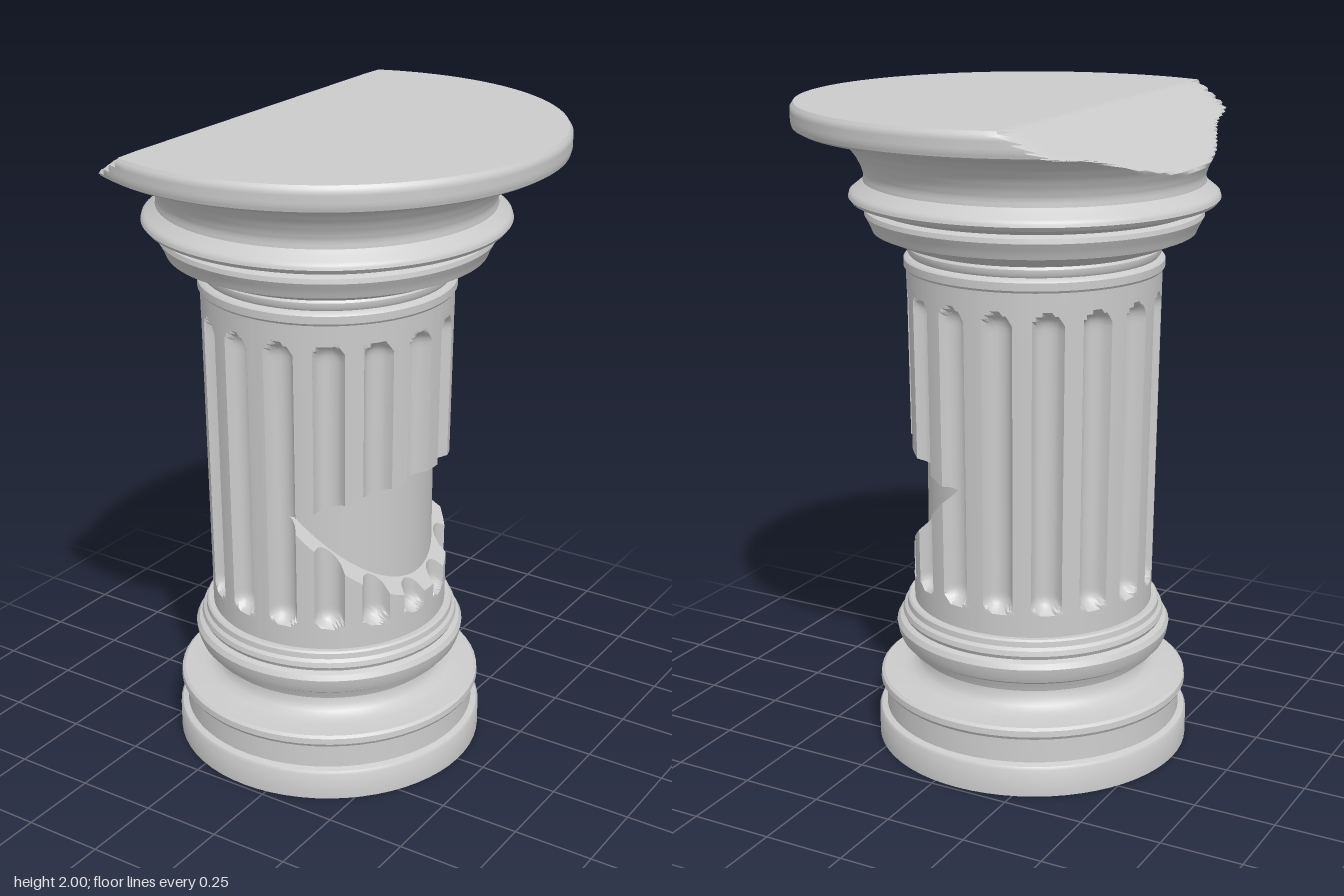
import * as THREE from 'three';
import { toCreasedNormals } from 'three/addons/utils/BufferGeometryUtils.js';

const AXIS_X = -0.08; // the column axis sits left of centre because the top is broken
const material = new THREE.MeshStandardMaterial({ color: 0xcccccc });

function addPart(group, name, geometry, crease) {
  geometry.deleteAttribute('normal');
  const mesh = new THREE.Mesh(toCreasedNormals(geometry, crease), material);
  mesh.name = name;
  mesh.position.x = AXIS_X;
  group.add(mesh);
}

// Turned moulding from [radius, height] pairs, split into steps no longer than `step`
function turned(profile, segments, step = 1) {
  const points = [new THREE.Vector2(...profile[0])];
  for (let i = 1; i < profile.length; i++) {
    const a = new THREE.Vector2(...profile[i - 1]);
    const b = new THREE.Vector2(...profile[i]);
    const n = Math.ceil(a.distanceTo(b) / step);
    for (let k = 1; k <= n; k++) points.push(a.clone().lerp(b, k / n));
  }
  return new THREE.LatheGeometry(points, segments);
}

// Broken rim: pull every point beyond the slanted fracture plane in towards the axis
function breakRim(geometry) {
  const p = geometry.attributes.position;
  for (let i = 0; i < p.count; i++) {
    const limit = -0.32 - (2 - p.getY(i)) * 1.647 - AXIS_X;
    if (p.getX(i) < limit) {
      const k = limit / p.getX(i);
      p.setXYZ(i, limit, p.getY(i), p.getZ(i) * k);
    }
  }
  return geometry;
}

// Shaft radius at a given angle and height, with 16 round-ended flutes
const FLUTE_STEP = Math.PI / 8, FLUTE_HALF = 0.046, FLUTE_DEPTH = 0.042;
function shaftRadius(phi, y) {
  const r = 0.37 + 0.012 * (y - 0.46);
  const turn = phi / FLUTE_STEP;
  const across = (turn - Math.floor(turn) - 0.5) * FLUTE_STEP * 0.375;
  const along = Math.max(0.53 + FLUTE_HALF - y, y - 1.44 + FLUTE_HALF, 0);
  const u = Math.hypot(across, along) / FLUTE_HALF;
  return u < 1 ? r - FLUTE_DEPTH * Math.sqrt(1 - u * u) : r;
}

// Fluted shaft with a wedge-shaped chip on its left side that bares a plain core
function shaftGeometry() {
  const SEG = 256, LOW = 34, CORE = 6, HIGH = 34;
  const rows = LOW + CORE + HIGH;
  const dummy = Array.from({ length: rows }, (_, j) => new THREE.Vector2(0.37, j / rows));
  const geometry = new THREE.LatheGeometry(dummy, SEG);
  const p = geometry.attributes.position;
  const lower = (x) => 0.88 - 1.02 * Math.max(x, 0);
  const upper = (x) => 0.88 + 0.37 * Math.max(x, 0);

  for (let i = 0; i <= SEG; i++) {
    const phi = ((i % SEG) / SEG) * Math.PI * 2;
    const s = Math.sin(phi);
    // heights where the chip meets the outer surface
    let yLow = 0.88, yHigh = 0.88;
    for (let k = 0; k < 6; k++) {
      yLow = lower(AXIS_X + shaftRadius(phi, yLow) * s);
      yHigh = upper(AXIS_X + shaftRadius(phi, yHigh) * s);
    }
    const bare = s > 0 ? Math.max(0.325, -AXIS_X / s) : 1;
    const core = Math.min(bare, shaftRadius(phi, 0.88));
    const coreX = AXIS_X + core * s;

    for (let j = 0; j < rows; j++) {
      let y, r;
      if (j < LOW) {
        const t = j / (LOW - 1);
        y = THREE.MathUtils.lerp(0.46, yLow, t ** 1.4);
        r = shaftRadius(phi, y);
      } else if (j < LOW + CORE) {
        y = THREE.MathUtils.lerp(lower(coreX), upper(coreX), (j - LOW) / (CORE - 1));
        r = core;
      } else {
        const t = (j - LOW - CORE) / (HIGH - 1);
        y = THREE.MathUtils.lerp(yHigh, 1.51, 1 - (1 - t) ** 1.8);
        r = shaftRadius(phi, y);
      }
      p.setXYZ(i * rows + j, r * s, y, r * Math.cos(phi));
    }
  }
  return geometry;
}

export function createModel() {
  const group = new THREE.Group();
  group.name = 'brokenColumn';

  // Round plinth with a lip
  addPart(group, 'plinth', turned([
    [0, 0], [0.487, 0], [0.487, 0.085], [0.481, 0.094], [0.463, 0.1], [0.46, 0.178],
    [0.475, 0.18], [0.481, 0.19], [0.479, 0.208], [0.47, 0.215], [0.41, 0.217],
    [0.385, 0.222], [0.362, 0.235], [0.35, 0.255], [0.347, 0.28], [0, 0.28],
  ], 64), 0.6);

  // Rounded ring under the shaft
  addPart(group, 'baseRing', turned([
    [0.3, 0.279], [0.35, 0.279], [0.37, 0.288], [0.376, 0.305], [0.394, 0.31], [0.4, 0.325],
    [0.415, 0.335], [0.423, 0.355], [0.427, 0.38], [0.418, 0.396], [0.402, 0.403],
    [0.408, 0.415], [0.404, 0.43], [0.394, 0.438], [0.392, 0.455], [0.386, 0.46], [0.3, 0.46],
  ], 64), 0.6);

  addPart(group, 'flutedShaft', shaftGeometry(), 0.7);

  // Neck bands
  addPart(group, 'neckBand', turned([
    [0.3, 1.505], [0.385, 1.505], [0.39, 1.512], [0.39, 1.535], [0.383, 1.543],
    [0.372, 1.546], [0.378, 1.555], [0.378, 1.57], [0.37, 1.58], [0.3, 1.58],
  ], 64), 0.6);

  // Capital mouldings flaring out to the broken top slab
  addPart(group, 'capital', breakRim(turned([
    [0.3, 1.575], [0.375, 1.578], [0.41, 1.59], [0.455, 1.61], [0.48, 1.62], [0.488, 1.64],
    [0.503, 1.668], [0.5, 1.682], [0.483, 1.69], [0.505, 1.7], [0.54, 1.71], [0.549, 1.722],
    [0.545, 1.735], [0.52, 1.755], [0.505, 1.768], [0.503, 1.79], [0.511, 1.815],
    [0.527, 1.845], [0.55, 1.875], [0.58, 1.897], [0.62, 1.91], [0.69, 1.921],
    [0.706, 1.93], [0.71, 1.945], [0.71, 1.985], [0.7, 2], [0, 2],
  ], 128, 0.012)), 0.6);

  return group;
}
